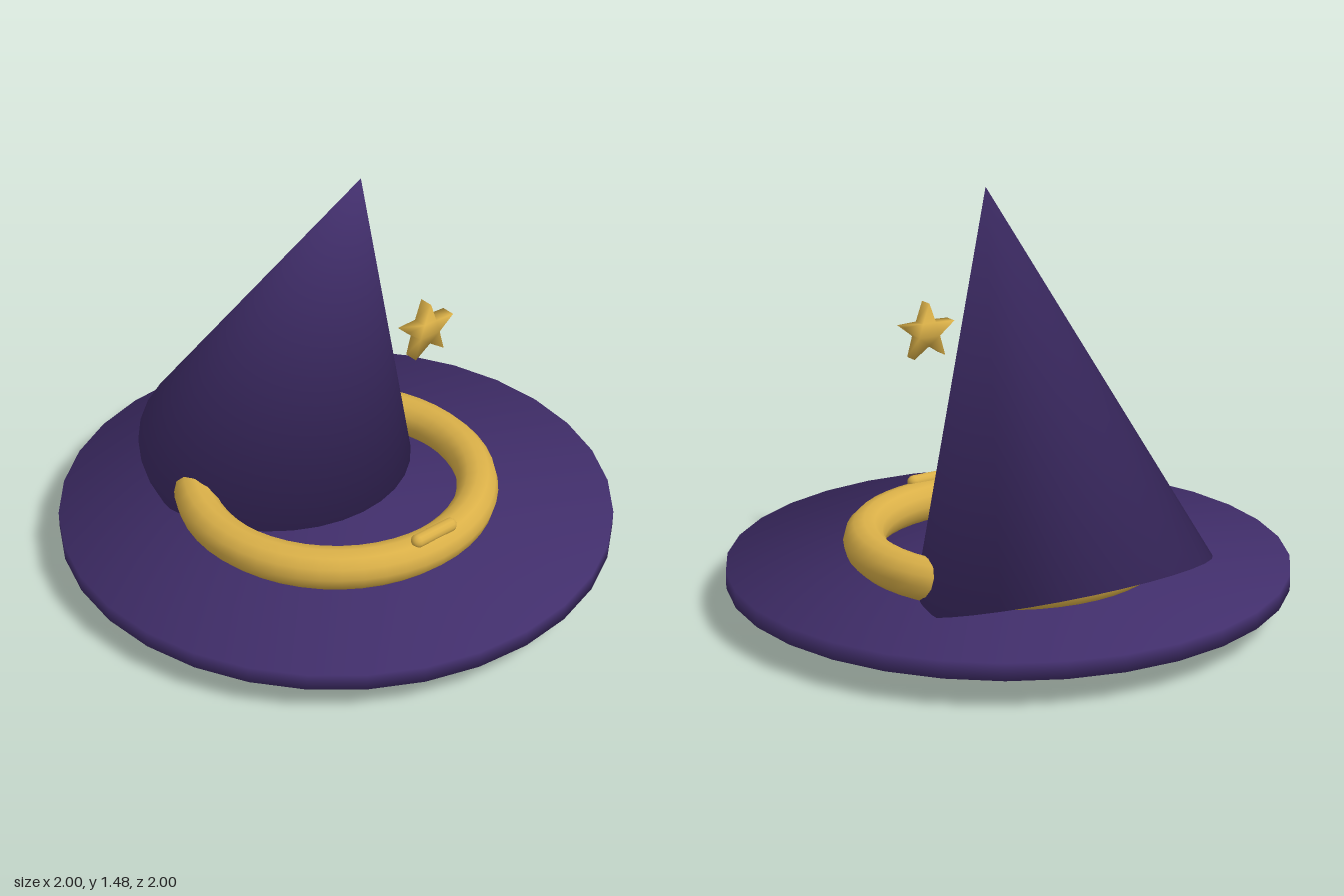
import * as THREE from 'three';

const purple = new THREE.MeshStandardMaterial({ name: 'purpleFelt', color: 0x412e6b });
const gold = new THREE.MeshStandardMaterial({ name: 'goldTrim', color: 0xdab048 });

// Averages the normals of all corners sharing a position, for soft rims
function softenNormals(geometry) {
  const pos = geometry.attributes.position, nor = geometry.attributes.normal;
  const sums = new Map(), v = new THREE.Vector3();
  const key = (i) => [pos.getX(i), pos.getY(i), pos.getZ(i)].map((c) => Math.round(c * 1e4)).join();
  for (let i = 0; i < pos.count; i++) {
    const k = key(i);
    if (!sums.has(k)) sums.set(k, new THREE.Vector3());
    sums.get(k).add(v.fromBufferAttribute(nor, i));
  }
  for (let i = 0; i < pos.count; i++) {
    v.copy(sums.get(key(i))).normalize();
    nor.setXYZ(i, v.x, v.y, v.z);
  }
  return geometry;
}

function part(name, geometry, material, x, y, z) {
  const mesh = new THREE.Mesh(geometry, material);
  mesh.name = name;
  mesh.position.set(x, y, z);
  return mesh;
}

function starGeometry(outer, inner, depth) {
  const points = [];
  for (let i = 0; i < 10; i++) {
    const r = i % 2 ? inner : outer;
    const a = Math.PI / 2 + (i * Math.PI) / 5;
    points.push(new THREE.Vector2(r * Math.cos(a), r * Math.sin(a)));
  }
  return new THREE.ExtrudeGeometry(new THREE.Shape(points), { depth, bevelEnabled: false })
    .translate(0, 0, -depth / 2);
}

export function createModel() {
  const hat = new THREE.Group();
  hat.name = 'pointedHat';

  // Wide flat brim
  hat.add(part('brim', softenNormals(new THREE.CylinderGeometry(1, 1, 0.06, 32)), purple, 0, 0.134, 0));

  // Tall crown, pivoting on its base and tipped forward
  const height = 1.385;
  const crownGeometry = new THREE.ConeGeometry(0.525, height, 32).translate(0, height / 2, 0);
  const crown = part('crown', softenNormals(crownGeometry), purple, 0.012, 0.165, -0.355);
  crown.rotation.set(0.32, 0, -0.02);
  hat.add(crown);

  // Round band lying on the brim
  const bandGeometry = new THREE.TorusGeometry(0.51, 0.075, 12, 48).rotateX(Math.PI / 2);
  hat.add(part('band', bandGeometry, gold, 0, 0.23, 0));

  // Small bar clasp on the front of the band
  const claspGeometry = new THREE.CapsuleGeometry(0.025, 0.145, 6, 12).rotateZ(Math.PI / 2);
  hat.add(part('clasp', claspGeometry, gold, 0, 0.302, 0.528));

  // Star floating in front of the crown
  hat.add(part('star', softenNormals(starGeometry(0.108, 0.045, 0.05)), gold, 0.163, 0.942, 0.28));

  return hat;
}
